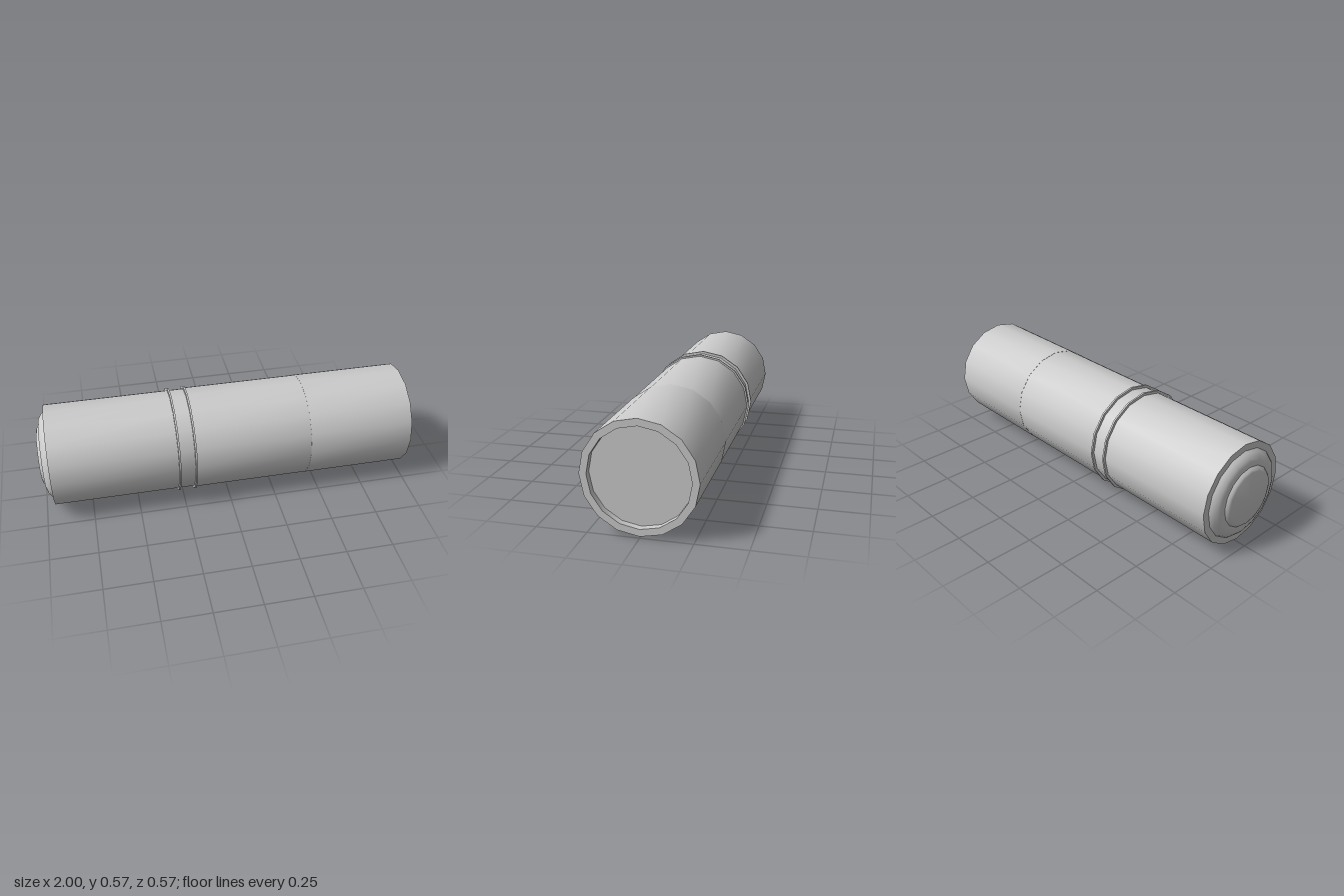
import * as THREE from 'three';
import { toCreasedNormals } from 'three/addons/utils/BufferGeometryUtils.js';

const SIDES = 16;
const AXIS_HEIGHT = 0.286;

export function createModel() {
  const group = new THREE.Group();
  group.name = 'cylindricalHandle';
  const material = new THREE.MeshStandardMaterial({ color: 0xcccccc });

  // Turns a profile of [x, radius] points around the long axis
  function turned(name, profile) {
    const points = profile.map(([x, r]) => new THREE.Vector2(r, x));
    const lathe = new THREE.LatheGeometry(points, SIDES).rotateZ(-Math.PI / 2);
    const mesh = new THREE.Mesh(toCreasedNormals(lathe, 0.6), material);
    mesh.name = name;
    mesh.position.y = AXIS_HEIGHT;
    group.add(mesh);
  }

  // Stepped, rounded button on the closed end
  turned('endButton', [
    [-1, 0], [-1, 0.14], [-0.995, 0.152], [-0.983, 0.162],
    [-0.983, 0.19], [-0.975, 0.208], [-0.963, 0.225], [-0.948, 0.236],
  ]);

  // Narrower rear barrel
  turned('rearBarrel', [[-0.948, 0], [-0.948, 0.272], [-0.19, 0.272]]);

  // Pair of thin raised bands
  for (const [name, x] of [['rearBand', -0.28], ['frontBand', -0.193]]) {
    turned(name, [
      [x - 0.005, 0.25], [x - 0.005, 0.286], [x + 0.005, 0.286], [x + 0.005, 0.25],
    ]);
  }

  // Middle sleeve, a hair slimmer than the front barrel
  turned('middleSleeve', [[-0.193, 0.25], [-0.193, 0.277], [0.433, 0.277]]);

  // Front barrel with a shallow recessed face
  turned('frontBarrel', [
    [0.433, 0.25], [0.433, 0.278], [1, 0.278], [1, 0.243], [0.965, 0.243], [0.965, 0],
  ]);

  return group;
}
